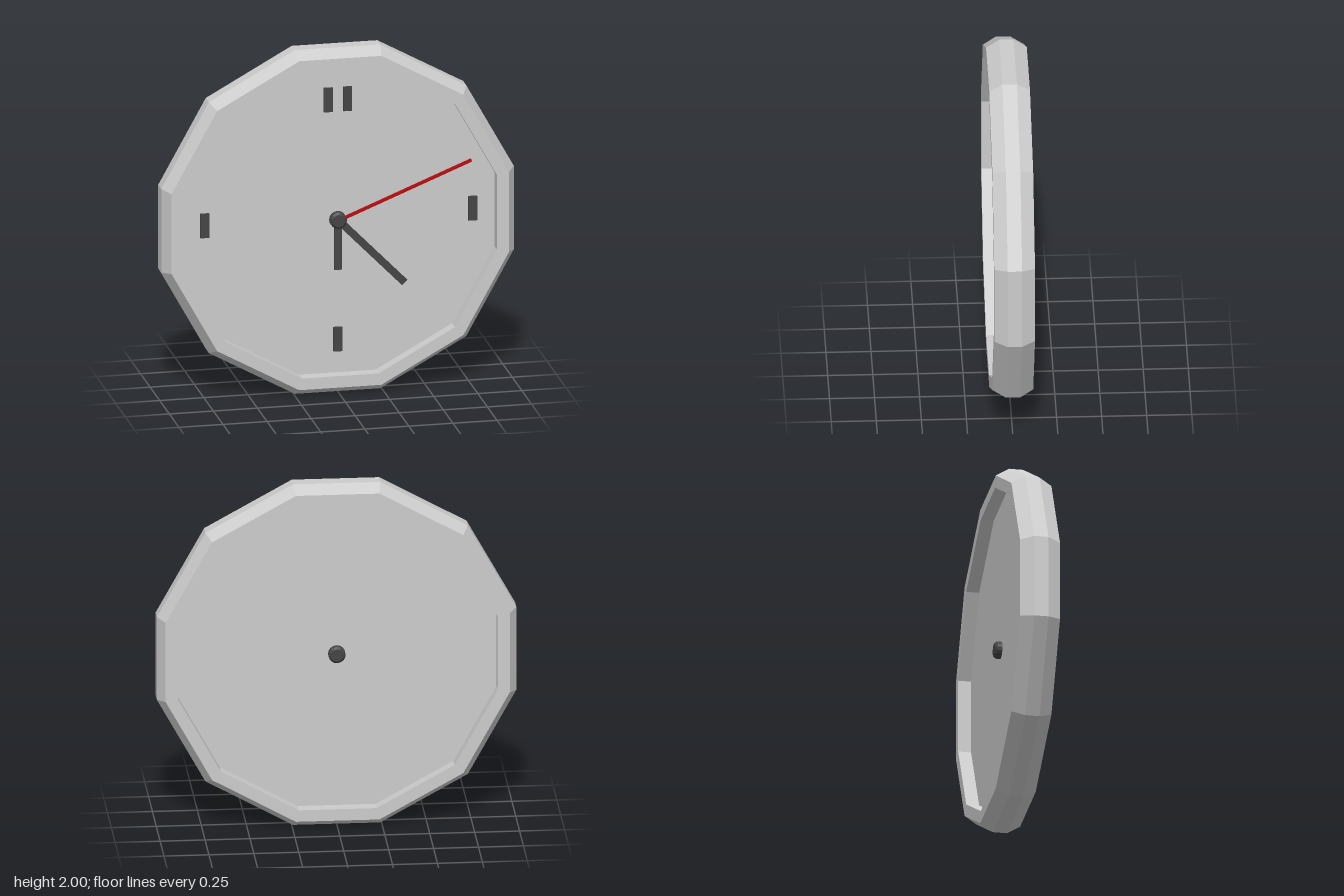
import * as THREE from 'three';

const grey = new THREE.MeshStandardMaterial({ color: 0xcccccc, flatShading: true });
const dark = new THREE.MeshStandardMaterial({ color: 0x444444, flatShading: true });
const red = new THREE.MeshStandardMaterial({ color: 0xb80c10, flatShading: true });

// twelve-sided outline, counter-clockwise seen from the front
const outline = [];
for (let q = 0; q < 4; q++) {
  for (const [x, y] of [[1, -0.243], [1, 0.243], [0.73, 0.73]]) {
    outline.push(new THREE.Vector2(x, y).rotateAround(new THREE.Vector2(), q * Math.PI / 2));
  }
}

// sweeps a [scale, z] profile around the outline with flat facets
function sweepOutline(profile) {
  const pos = [];
  const point = (i, [s, z]) => {
    const p = outline[i % outline.length];
    return [p.x * s, p.y * s, z];
  };
  for (let i = 0; i < outline.length; i++) {
    for (let j = 0; j < profile.length - 1; j++) {
      const a = point(i, profile[j]), a2 = point(i, profile[j + 1]);
      const b = point(i + 1, profile[j]), b2 = point(i + 1, profile[j + 1]);
      pos.push(...a, ...a2, ...b, ...a2, ...b2, ...b);
    }
  }
  const geometry = new THREE.BufferGeometry();
  geometry.setAttribute('position', new THREE.Float32BufferAttribute(pos, 3));
  geometry.computeVertexNormals();
  return geometry;
}

export function createModel() {
  const model = new THREE.Group();
  model.name = 'wallClock';
  const add = (name, geometry, material, x = 0, y = 0, z = 0) => {
    const mesh = new THREE.Mesh(geometry, material);
    mesh.name = name;
    mesh.position.set(x, 1 + y, z);
    model.add(mesh);
    return mesh;
  };

  // bevelled rim, recessed on both sides
  add('rim', sweepOutline([
    [0.89, 0.04], [0.89, 0.113], [0.957, 0.113], [1, 0.04],
    [1, -0.04], [0.957, -0.113], [0.89, -0.113], [0.89, -0.04],
  ]), grey);

  // dial plate filling the rim
  const plate = new THREE.Shape(outline.map((p) => p.clone().multiplyScalar(0.891)));
  add('dial', new THREE.ExtrudeGeometry(plate, { depth: 0.08, bevelEnabled: false }), grey, 0, 0, -0.04);

  // plain hour markers, doubled at the top
  for (const [x, y] of [[-0.055, 0.7], [0.055, 0.7], [0.765, 0.015], [0, -0.695], [-0.755, 0.015]]) {
    add('hourMarker', new THREE.BoxGeometry(0.05, 0.14, 0.02), dark, x, y, 0.045);
  }

  // hands reach out from the centre at an angle measured from +x
  const addHand = (name, length, width, angle, z, material) => {
    const geometry = new THREE.BoxGeometry(length, width, 0.014).translate(length / 2, 0, 0);
    add(name, geometry, material, 0, 0, z).rotation.z = angle;
  };
  addHand('hourHand', 0.29, 0.042, -Math.PI / 2, 0.05, dark);
  addHand('minuteHand', 0.54, 0.042, -0.8, 0.055, dark);
  addHand('secondHand', 0.812, 0.016, 0.381, 0.067, red);

  // centre spindle with bevelled ends, passing through the dial
  const spindle = new THREE.LatheGeometry([
    [0, -0.08], [0.036, -0.08], [0.048, -0.068], [0.048, 0.068], [0.036, 0.08], [0, 0.08],
  ].map(([r, h]) => new THREE.Vector2(r, h)), 16).rotateX(Math.PI / 2);
  add('spindle', spindle, dark);

  return model;
}
